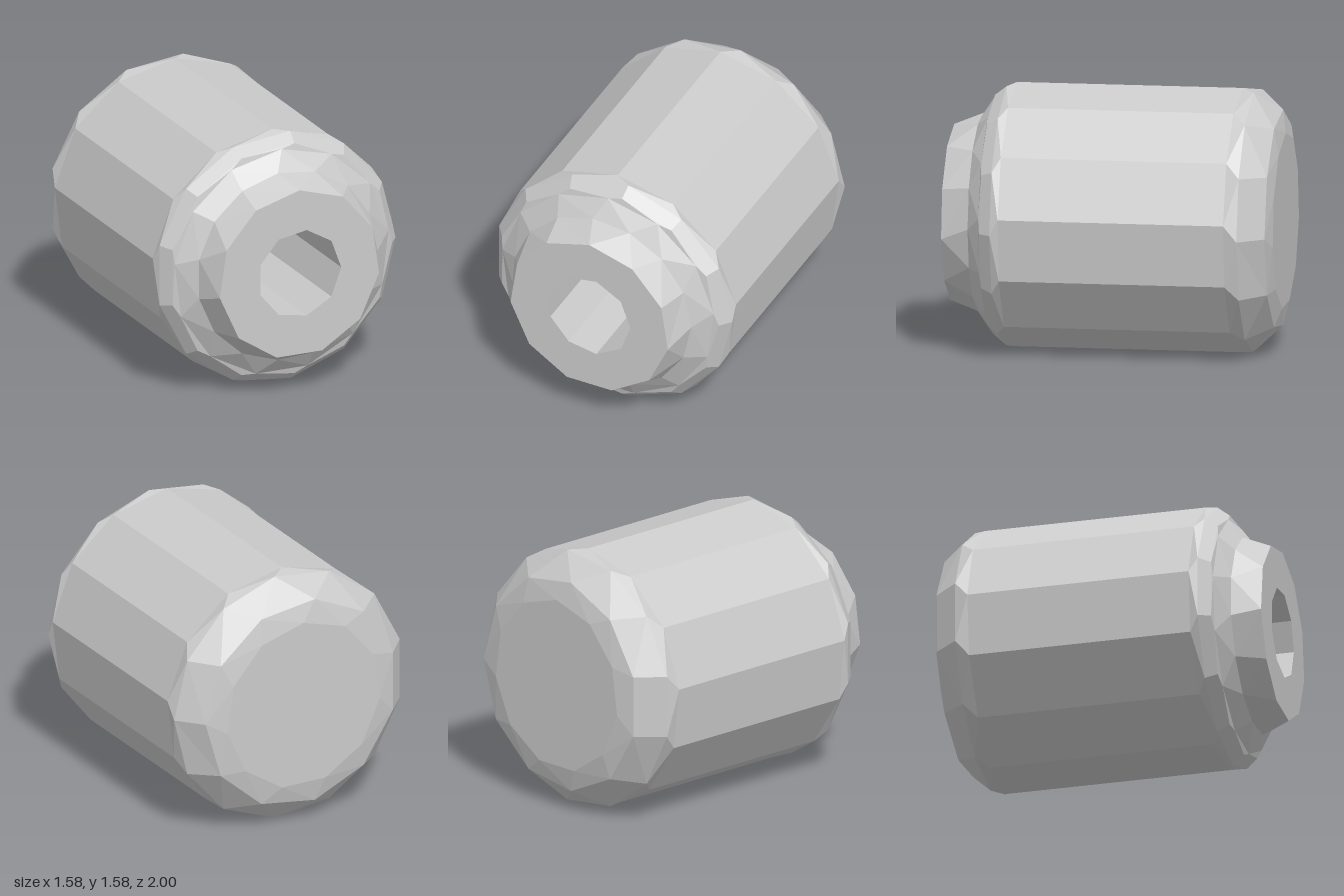
import * as THREE from 'three';

const CENTRE_Y = 0.79;

// One polygon ring around the z axis; turn is an offset in fractions of a side.
const ring = (z, r, sides, turn = 0) => ({ z, r, sides, turn });
const angle = (g, i) => ((i + g.turn) / g.sides) * Math.PI * 2;
const corner = (g, i) => [
  g.r * Math.cos(angle(g, i)), CENTRE_Y + g.r * Math.sin(angle(g, i)), g.z,
];

// Joins successive rings, which may differ in side count, with a strip of triangles.
function stitch(rings) {
  const pos = [];
  for (let k = 0; k + 1 < rings.length; k++) {
    const p = rings[k], q = rings[k + 1];
    let i = 0, j = 0;
    while (i < p.sides || j < q.sides) {
      const stepP = j >= q.sides || (i < p.sides && angle(p, i + 1) <= angle(q, j + 1));
      if (stepP) {
        if (p.r > 0) pos.push(...corner(p, i), ...corner(q, j), ...corner(p, i + 1));
        i++;
      } else {
        if (q.r > 0) pos.push(...corner(p, i), ...corner(q, j), ...corner(q, j + 1));
        j++;
      }
    }
  }
  const geo = new THREE.BufferGeometry();
  geo.setAttribute('position', new THREE.Float32BufferAttribute(pos, 3));
  geo.computeVertexNormals();
  return geo;
}

export function createModel() {
  const group = new THREE.Group();
  const material = new THREE.MeshStandardMaterial({ color: 0xcccccc, flatShading: true });
  const add = (name, rings) => {
    const mesh = new THREE.Mesh(stitch(rings), material);
    mesh.name = name;
    group.add(mesh);
  };

  // Rings shared by neighbouring parts
  const boreRim = ring(1, 0.275, 9);
  const neckBase = ring(0.83, 0.595, 15);
  const bodyFront = ring(0.62, 0.795, 13, 0.25);
  const bodyBack = ring(-0.74, 0.795, 13, 0.25);

  // Blind hole with a pointed end
  add('bore', [ring(-0.15, 0, 9), ring(0, 0.275, 9), boreRim]);

  // Flat front face and flared neck
  add('neck', [boreRim, ring(1, 0.53, 11, -0.25), neckBase]);

  // Faceted shoulder between neck and barrel
  add('frontShoulder', [
    neckBase, ring(0.75, 0.71, 13, 0.25), ring(0.74, 0.735, 13), ring(0.67, 0.79, 13), bodyFront,
  ]);

  // Thirteen-sided barrel
  add('barrel', [bodyFront, bodyBack]);

  // Rounded back edge and flat end cap
  add('backCap', [
    bodyBack, ring(-0.82, 0.79, 13), ring(-0.97, 0.66, 11), ring(-1, 0.53, 11, -0.25),
    ring(-1, 0, 11, -0.25),
  ]);

  return group;
}
